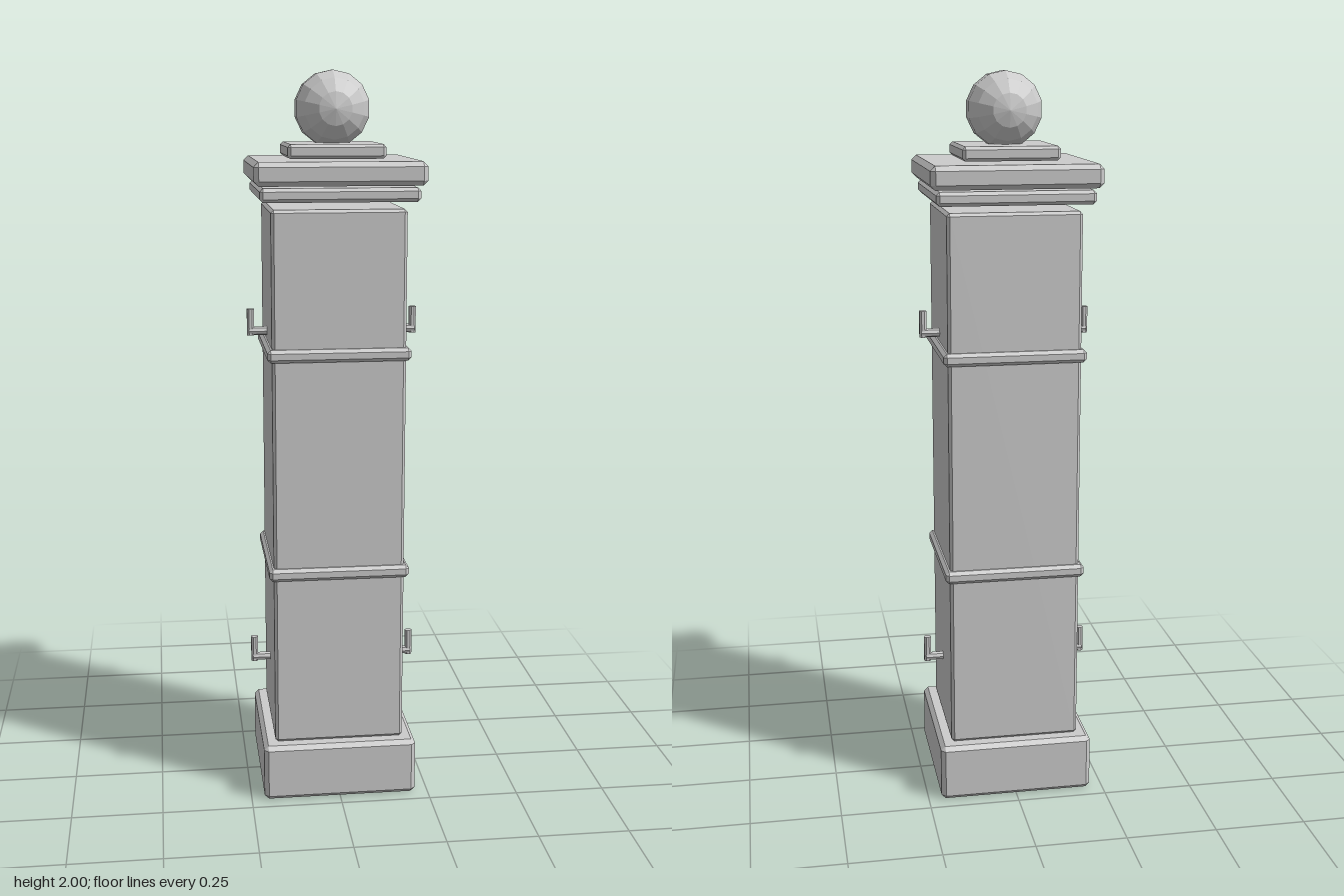
import * as THREE from 'three';
import { ConvexGeometry } from 'three/addons/geometries/ConvexGeometry.js';

// Square block with every edge chamfered by c
function chamferedBlock(half, y0, y1, c) {
  const hy = (y1 - y0) / 2;
  const points = [];
  for (const sx of [-1, 1]) for (const sy of [-1, 1]) for (const sz of [-1, 1]) {
    points.push(
      new THREE.Vector3(sx * half, sy * (hy - c), sz * (half - c)),
      new THREE.Vector3(sx * (half - c), sy * hy, sz * (half - c)),
      new THREE.Vector3(sx * (half - c), sy * (hy - c), sz * half)
    );
  }
  return new ConvexGeometry(points).translate(0, (y0 + y1) / 2, 0);
}

export function createModel() {
  const group = new THREE.Group();
  const stone = new THREE.MeshStandardMaterial({ color: 0xcccccc, flatShading: true });
  stone.name = 'stone';

  const add = (name, geometry, parent = group) => {
    const mesh = new THREE.Mesh(geometry, stone);
    mesh.name = name;
    parent.add(mesh);
    return mesh;
  };

  // Stacked square blocks: name, half width, bottom, top, chamfer
  const blocks = [
    ['base', 0.214, 0, 0.16, 0.012],
    ['shaft', 0.18, 0.16, 1.645, 0.008],
    ['lowerBand', 0.193, 0.637, 0.672, 0.009],
    ['upperBand', 0.193, 1.244, 1.279, 0.009],
    ['neckMoulding', 0.21, 1.665, 1.702, 0.009],
    ['cap', 0.226, 1.707, 1.769, 0.013],
    ['finialPlinth', 0.13, 1.772, 1.81, 0.008],
  ];
  for (const [name, half, y0, y1, c] of blocks) add(name, chamferedBlock(half, y0, y1, c));

  // Faceted ball finial, poles facing front and back
  const ball = new THREE.SphereGeometry(0.103, 14, 7);
  ball.rotateX(Math.PI / 2).rotateZ(Math.PI / 2);
  add('ballFinial', ball).position.y = 1.9;

  // Gate hinge hooks: two heights on both sides
  for (const side of [-1, 1]) for (const y of [0.35, 1.303]) {
    const hook = new THREE.Group();
    hook.name = (side > 0 ? 'left' : 'right') + (y > 1 ? 'Upper' : 'Lower') + 'Hook';
    hook.position.y = y;
    const arm = new THREE.CylinderGeometry(0.012, 0.012, 0.06, 8).rotateZ(Math.PI / 2);
    add('hookArm', arm, hook).position.x = side * 0.2;
    const pin = new THREE.CylinderGeometry(0.0105, 0.0105, 0.073, 8).rotateY(Math.PI / 8);
    add('hookPin', pin, hook).position.set(side * 0.225, 0.0245, 0);
    group.add(hook);
  }
  return group;
}
